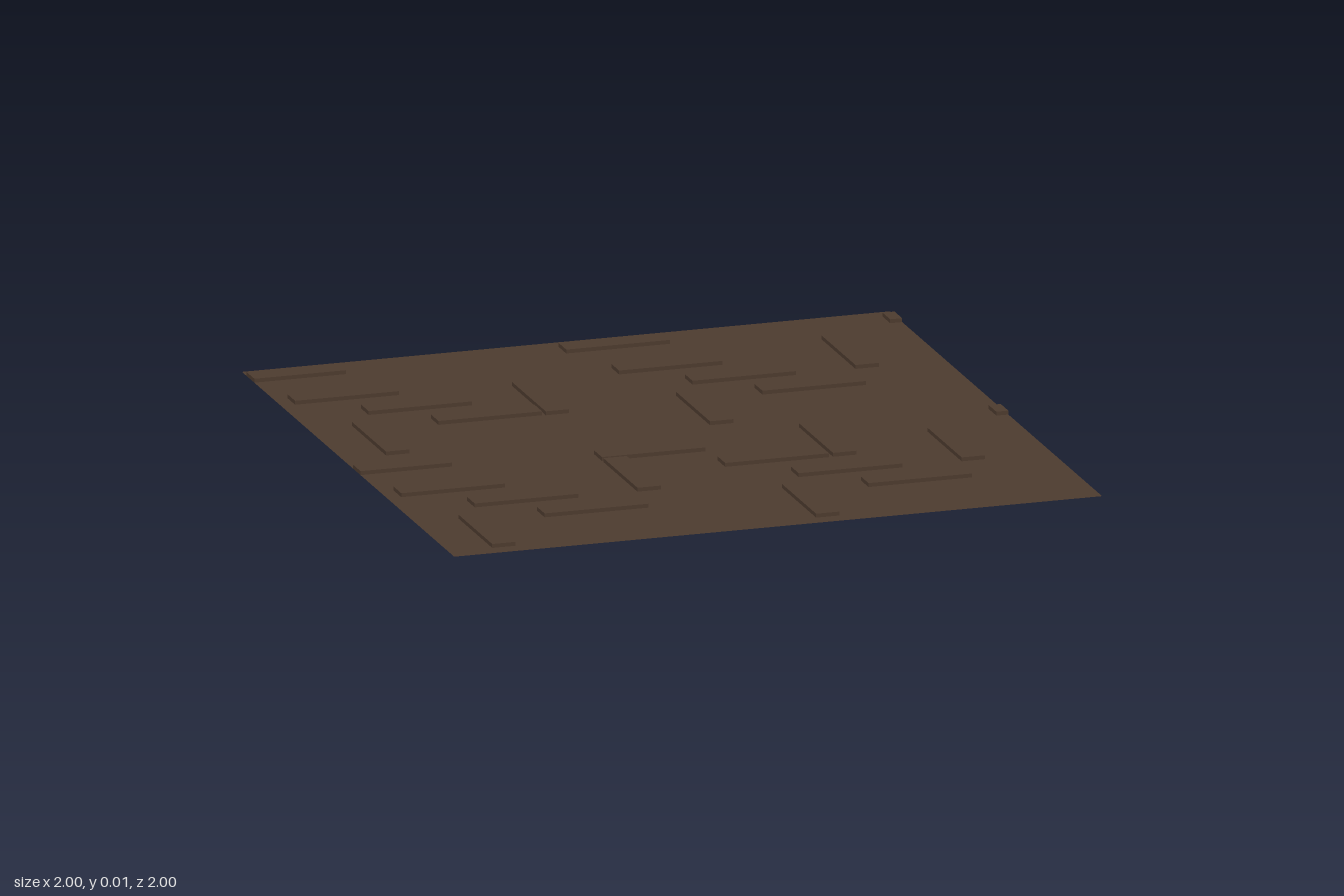
import * as THREE from 'three';

const HEIGHT = 0.012;
const LONG = 0.32;
const SHORT = 0.072;

export function createModel() {
  const group = new THREE.Group();
  const material = new THREE.MeshStandardMaterial({ color: 0x4e3c2f, side: THREE.DoubleSide });

  // Flat wall or floor sheet
  const sheet = new THREE.Mesh(new THREE.PlaneGeometry(2, 2).rotateX(-Math.PI / 2), material);
  sheet.name = 'baseSheet';
  group.add(sheet);

  // Raised brick from its min corner, clipped to the sheet, without a bottom
  function brick(x, z, upright) {
    const x0 = Math.max(x, -1);
    const x1 = Math.min(x + (upright ? SHORT : LONG), 1);
    const z1 = z + (upright ? LONG : SHORT);
    const geometry = new THREE.BoxGeometry(x1 - x0, HEIGHT, z1 - z);
    const index = Array.from(geometry.index.array);
    index.splice(18, 6);
    geometry.setIndex(index);
    geometry.clearGroups();
    const mesh = new THREE.Mesh(geometry, material);
    mesh.position.set((x0 + x1) / 2, HEIGHT / 2, (z + z1) / 2);
    mesh.name = upright ? 'uprightBrick' : 'flatBrick';
    group.add(mesh);
  }

  // Bricks repeated in all four quarters
  for (const dx of [0, 1]) {
    for (const dz of [0, 1]) {
      brick(-0.957 + dx, -0.702 + dz, false);
      brick(-0.785 + dx, -0.535 + dz, false);
      brick(-0.622 + dx, -0.374 + dz, false);
      brick(-0.866 + dx, -0.371 + dz, true);
    }
  }

  // Bricks repeated front and back, cut off at the side edges
  for (const dz of [0, 1]) {
    brick(-1.037, -0.955 + dz, false);
    brick(0.963, -0.955 + dz, false);
    brick(0.72, -0.788 + dz, true);
  }

  // Single bricks
  brick(-0.037, -0.955, false);
  brick(-0.282, 0.128, false);
  brick(-0.292, -0.618, true);
  brick(0.376, 0.05, true);
  brick(-0.281, 0.212, true);

  return group;
}
